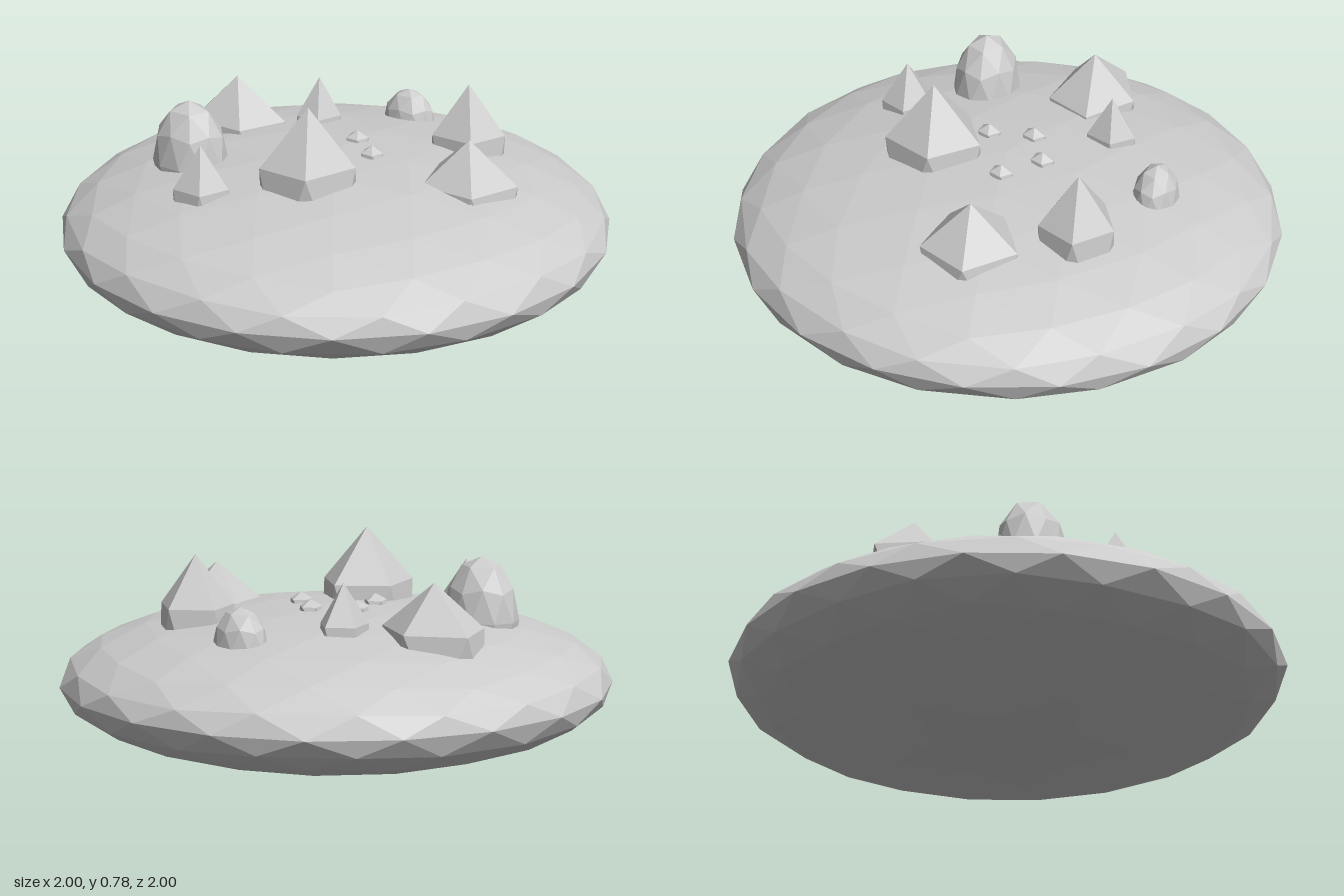
import * as THREE from 'three';

// Icosphere with a vertex at the top and one upper-ring vertex towards +x.
function icosphere(levels) {
  const base = new THREE.IcosahedronGeometry(1, 0);
  base.rotateX(-Math.atan2((1 + Math.sqrt(5)) / 2, 1));
  base.rotateY(Math.PI / 2);
  const p = base.getAttribute('position');
  let points = [];
  for (let i = 0; i < p.count; i++) points.push(new THREE.Vector3().fromBufferAttribute(p, i));

  // split every triangle in four, pushing midpoints onto the sphere
  const mid = (a, b) => a.clone().add(b).normalize();
  for (let n = 0; n < levels; n++) {
    const next = [];
    for (let i = 0; i < points.length; i += 3) {
      const [a, b, c] = points.slice(i, i + 3);
      const ab = mid(a, b), bc = mid(b, c), ca = mid(c, a);
      next.push(a, ab, ca, ab, b, bc, ca, bc, c, ab, bc, ca);
    }
    points = next;
  }
  const geometry = new THREE.BufferGeometry().setFromPoints(points);
  geometry.computeVertexNormals();
  return geometry;
}

export function createModel() {
  const model = new THREE.Group();
  model.name = 'rockyMound';
  const stone = new THREE.MeshStandardMaterial({ color: 0xcccccc, flatShading: true });
  stone.name = 'stone grey';

  const crystalShape = icosphere(0);
  const boulderShape = icosphere(1);

  function add(name, geometry, [x, y, z], [rx, ry, rz]) {
    const mesh = new THREE.Mesh(geometry, stone);
    mesh.name = name;
    mesh.position.set(x, y, z);
    mesh.scale.set(rx, ry, rz);
    model.add(mesh);
  }

  // flattened ground
  add('ground', icosphere(2), [0, 0.268, 0], [1, 0.268, 1]);

  // pointed rocks: centre, radii
  const crystals = [
    [[0.1, 0.39, -0.535], [0.182, 0.29, 0.218]],
    [[-0.515, 0.39, -0.197], [0.111, 0.27, 0.115]],
    [[0.281, 0.415, -0.285], [0.105, 0.26, 0.094]],
    [[-0.257, 0.418, 0.073], [0.204, 0.365, 0.191]],
    [[0.411, 0.4, 0.3], [0.151, 0.33, 0.159]],
    [[0.107, 0.375, 0.5], [0.195, 0.275, 0.2]],
  ];
  crystals.forEach(([c, r], i) => add(`pointedRock${i + 1}`, crystalShape, c, r));

  // rounded boulders
  add('largeBoulder', boulderShape, [-0.3, 0.49, -0.43], [0.125, 0.225, 0.145]);
  add('smallBoulder', boulderShape, [0.552, 0.46, -0.058], [0.083, 0.14, 0.108]);

  // little pebbles around the middle
  const pebbles = [[-0.118, -0.088], [0.04, -0.137], [0.137, -0.002], [0.04, 0.133]];
  pebbles.forEach(([x, z], i) =>
    add(`pebble${i + 1}`, crystalShape, [x, 0.522, z], [0.049, 0.045, 0.046]));

  return model;
}
